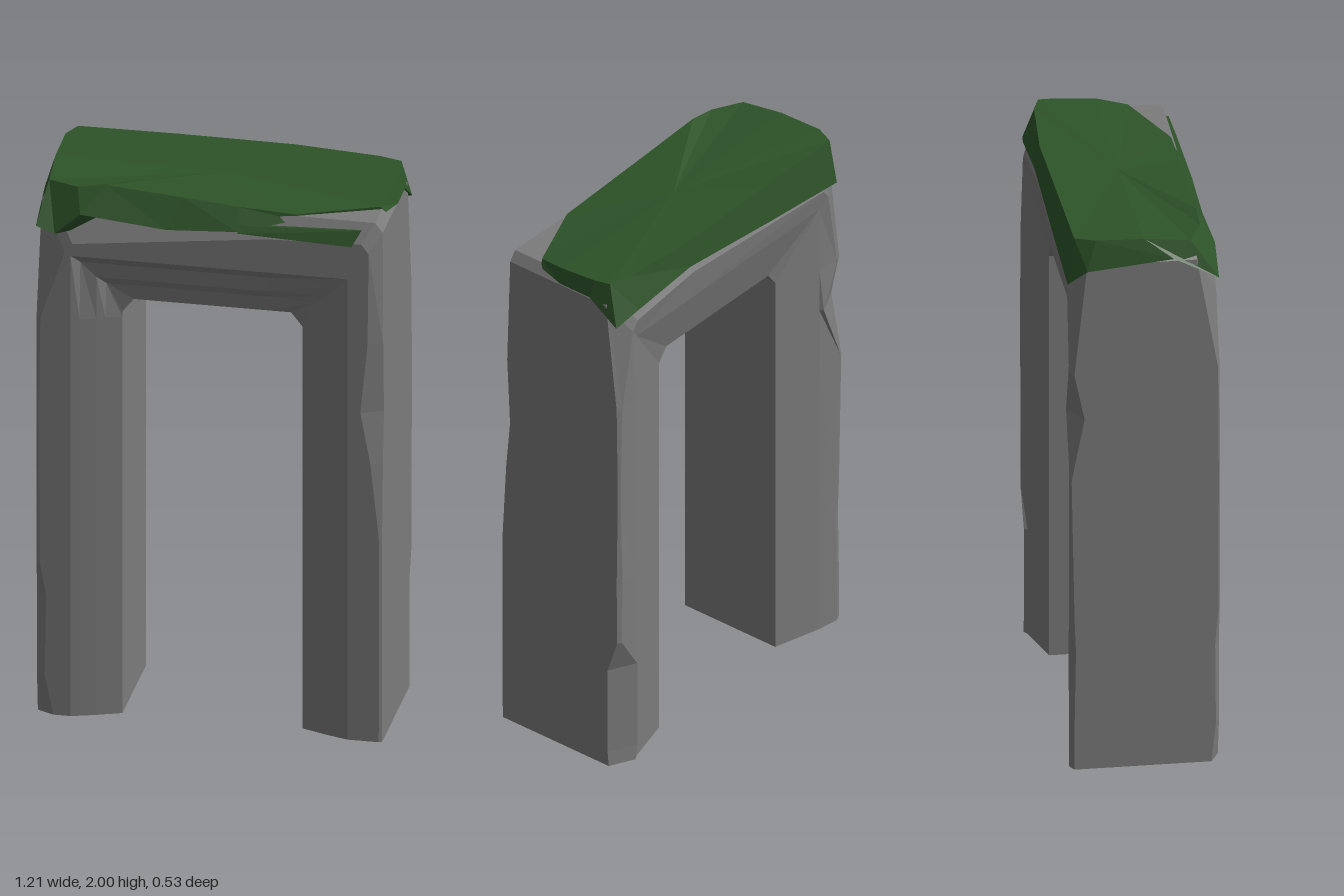
import * as THREE from 'three';
import { ConvexGeometry } from 'three/addons/geometries/ConvexGeometry.js';

const stone = new THREE.MeshStandardMaterial({ color: 0x7b7b7b, flatShading: true });
const moss = new THREE.MeshStandardMaterial({ color: 0x2d5328, flatShading: true });

// Joins closed rings of [x, y, z] points with quads and caps both ends.
function loft(rings) {
  const pos = [];
  const tri = (a, b, c) => pos.push(...a, ...b, ...c);
  const centre = (r) => [0, 1, 2].map((i) => r.reduce((s, p) => s + p[i], 0) / r.length);
  const n = rings[0].length;
  const first = rings[0], last = rings[rings.length - 1];
  const c0 = centre(first), c1 = centre(last);
  for (let k = 0; k < n; k++) {
    const m = (k + 1) % n;
    for (let i = 0; i < rings.length - 1; i++) {
      const a = rings[i], b = rings[i + 1];
      tri(a[k], b[k], b[m]);
      tri(a[k], b[m], a[m]);
    }
    tri(c0, first[k], first[m]);
    tri(c1, last[m], last[k]);
  }
  const g = new THREE.BufferGeometry();
  g.setAttribute('position', new THREE.Float32BufferAttribute(pos, 3));
  g.computeVertexNormals();
  return g;
}

// Opening and outer outline of the arch
const IN_X = 0.315, IN_Y = 1.57, OUT_X = 0.605, TOP = 1.945, Z = 0.26;

// Front and back faces near the opening: [offset from opening, z].
// The lintel is stepped in front, the legs are softly rounded.
const STEPPED = [[0, 0.2], [0.055, 0.207], [0.085, 0.23], [0.14, 0.236], [0.17, Z]];
const ROUNDED = [[0, 0.2], [0.055, 0.221], [0.085, 0.233], [0.14, 0.251], [0.17, Z]];
const BACK = [[0.18, -0.248], [0, -0.2]];

// One cross-section: inner(d) follows the opening, out is the outer edge,
// u points outward, cf and cb are the front and back edge chamfers.
function section(front, inner, out, u, cf, cb) {
  const at = ([d, z]) => [...inner(d), z];
  const cut = (c, z) => [out[0] - u[0] * c, out[1] - u[1] * c, z];
  return [
    ...front.map(at),
    cut(cf, Z), cut(0, Z - cf * 0.5), cut(0, -Z + cb * 0.5), cut(cb, -Z),
    ...BACK.map(at),
  ];
}

// Worn edges of the legs: [height, front chamfer, back chamfer]
const LEFT_WEAR = [
  [0.005, 0.012, 0.09], [0.06, 0.01, 0.1], [0.4, 0.01, 0.1], [0.53, 0.01, 0.015],
  [0.77, 0.01, 0.02], [1.05, 0.04, 0.012], [1.24, 0.075, 0.012], [1.5, 0.05, 0.02],
];
const RIGHT_WEAR = [
  [0.005, 0.06, 0.03], [0.15, 0.03, 0.03], [0.45, 0.035, 0.04], [0.58, 0.012, 0.03],
  [1.1, 0.01, 0.01], [1.33, 0.012, 0.1], [1.5, 0.015, 0.03],
];

// Leg sections plus the two mitred corner sections, from floor to lintel
function side(s, wear, cornerFront, cf, cb) {
  const legs = wear.map(([y, f, b]) =>
    section(ROUNDED, (d) => [s * (IN_X + d), y], [s * OUT_X, y], [s, 0], f, b));
  const corner = (x0, y0, out) => section(cornerFront,
    (d) => (d === 0 ? [s * x0, y0] : [s * (IN_X + d), IN_Y + d]), out, [s * 0.6, 1], cf, cb);
  return [
    ...legs,
    corner(IN_X, 1.52, [s * 0.601, 1.91]),
    corner(0.275, IN_Y, [s * 0.575, TOP]),
  ];
}

// Moss cushion: [lower x, y, z, upper x, y, z] around the rim
const RIM = [
  [-0.607, 1.92, 0.1, -0.59, 1.995, 0],
  [-0.607, 1.84, 0.255, -0.58, 1.975, 0.16],
  [-0.54, 1.82, 0.264, -0.47, 1.98, 0.21],
  [-0.45, 1.9, 0.264, -0.37, 1.995, 0.21],
  [-0.15, 1.87, 0.264, -0.1, 1.975, 0.215],
  [0.1, 1.885, 0.264, 0.1, 1.96, 0.22],
  [0.3, 1.93, 0.225, 0.3, 1.95, 0.22],
  [0.585, 1.93, 0.1, 0.57, 1.955, 0.11],
  [0.607, 1.92, 0, 0.592, 1.975, 0],
  [0.607, 1.92, -0.13, 0.59, 1.985, -0.14],
  [0.607, 1.84, -0.25, 0.58, 1.99, -0.2],
  [0.5, 1.87, -0.264, 0.5, 1.99, -0.225],
  [0.22, 1.9, -0.264, 0.2, 1.995, -0.25],
  [-0.2, 1.86, -0.264, -0.2, 2, -0.245],
  [-0.57, 1.83, -0.264, -0.56, 2, -0.24],
  [-0.607, 1.89, -0.2, -0.59, 2, -0.17],
];

export function createModel() {
  const group = new THREE.Group();
  const add = (name, geometry, material) => {
    const mesh = new THREE.Mesh(geometry, material);
    mesh.name = name;
    group.add(mesh);
  };

  // Stone arch: up one leg, across the lintel, down the other
  const lintel = section(STEPPED, (d) => [0.2, IN_Y + d], [0.2, TOP], [0, 1], 0.08, 0.08);
  add('stoneArch', loft([
    ...side(-1, RIGHT_WEAR, STEPPED, 0.16, 0.12),
    lintel,
    ...side(1, LEFT_WEAR, ROUNDED, 0.07, 0.12).reverse(),
  ]), stone);

  // Moss draped over the top
  add('mossCap', loft([RIM.map((r) => r.slice(3)), RIM.map((r) => r.slice(0, 3))]), moss);

  // Narrow strip of moss on the front edge, below the bare corner
  const strip = [[0.1, 1.905, 0.252], [0.53, 1.92, 0.245], [0.5, 1.865, 0.266], [0.1, 1.88, 0.266]];
  const points = strip.flatMap(([x, y, z]) =>
    [new THREE.Vector3(x, y, z), new THREE.Vector3(x, y, z - 0.04)]);
  add('mossStrip', new ConvexGeometry(points), moss);

  return group;
}
